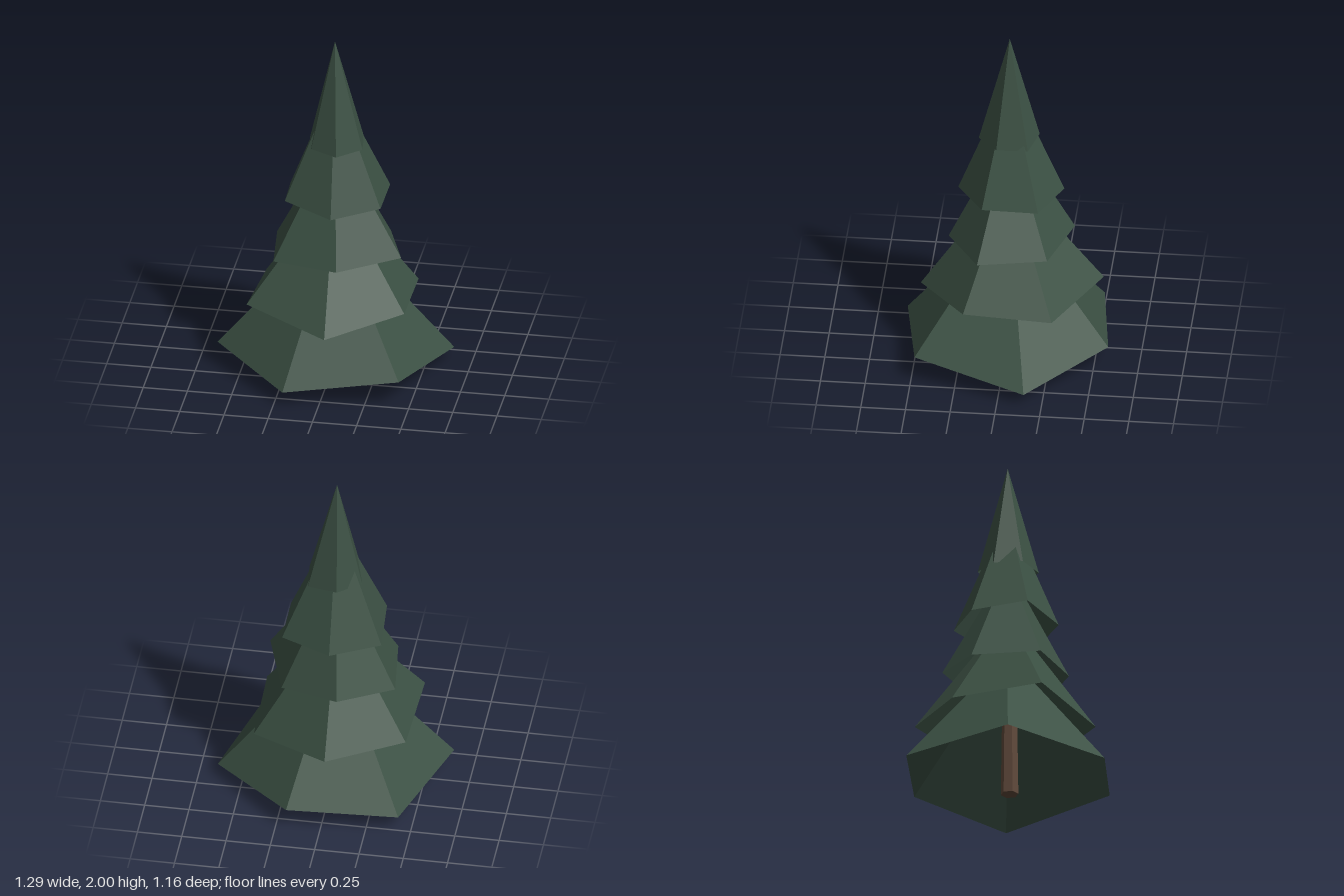
import * as THREE from 'three';

// Each tier: apex height and six rim corners [x, y, z], slightly uneven
const TIERS = [
  { apex: 0.86, rim: [[-0.43, 0.09, -0.5], [0.19, 0.125, -0.58], [0.645, 0.07, -0.15], [0.44, 0.15, 0.48], [-0.2, 0.08, 0.58], [-0.645, 0.125, 0.12]] },
  { apex: 1.1, rim: [[-0.43, 0.42, -0.24], [-0.02, 0.455, -0.535], [0.42, 0.41, -0.285], [0.425, 0.44, 0.21], [0.02, 0.38, 0.485], [-0.455, 0.455, 0.275]] },
  { apex: 1.4, rim: [[-0.355, 0.71, -0.145], [-0.06, 0.755, -0.37], [0.27, 0.72, -0.245], [0.395, 0.75, 0.135], [0.06, 0.725, 0.325], [-0.31, 0.72, 0.24]] },
  { apex: 1.74, rim: [[-0.28, 1.02, -0.16], [-0.01, 1.03, -0.315], [0.275, 1.035, -0.195], [0.275, 1.04, 0.12], [0.02, 1.025, 0.275], [-0.26, 1.06, 0.155]] },
  { apex: 2.0, rim: [[-0.155, 1.36, -0.06], [-0.03, 1.37, -0.175], [0.14, 1.355, -0.125], [0.16, 1.365, 0.05], [0.03, 1.36, 0.16], [-0.12, 1.37, 0.1]] },
];

// Open pyramid: one triangle from the apex to each rim edge
function tierGeometry({ apex, rim }) {
  const points = [];
  rim.forEach((corner, i) => {
    points.push(-0.005, apex, -0.01, ...rim[(i + 1) % rim.length], ...corner);
  });
  const geometry = new THREE.BufferGeometry();
  geometry.setAttribute('position', new THREE.Float32BufferAttribute(points, 3));
  geometry.computeVertexNormals();
  return geometry;
}

export function createModel() {
  const tree = new THREE.Group();
  tree.name = 'firTree';

  const needles = new THREE.MeshStandardMaterial({ color: 0x3b5043, flatShading: true, side: THREE.DoubleSide });
  needles.name = 'darkGreenNeedles';
  const bark = new THREE.MeshStandardMaterial({ color: 0x60493a, flatShading: true });
  bark.name = 'brownBark';

  // Trunk, running up inside the lowest tiers
  const trunk = new THREE.Mesh(new THREE.CylinderGeometry(0.04, 0.05, 0.7, 6), bark);
  trunk.name = 'trunk';
  trunk.position.y = 0.35;
  tree.add(trunk);

  // Branch tiers, bottom to top
  TIERS.forEach((tier, i) => {
    const mesh = new THREE.Mesh(tierGeometry(tier), needles);
    mesh.name = `branchTier${i + 1}`;
    tree.add(mesh);
  });

  return tree;
}
